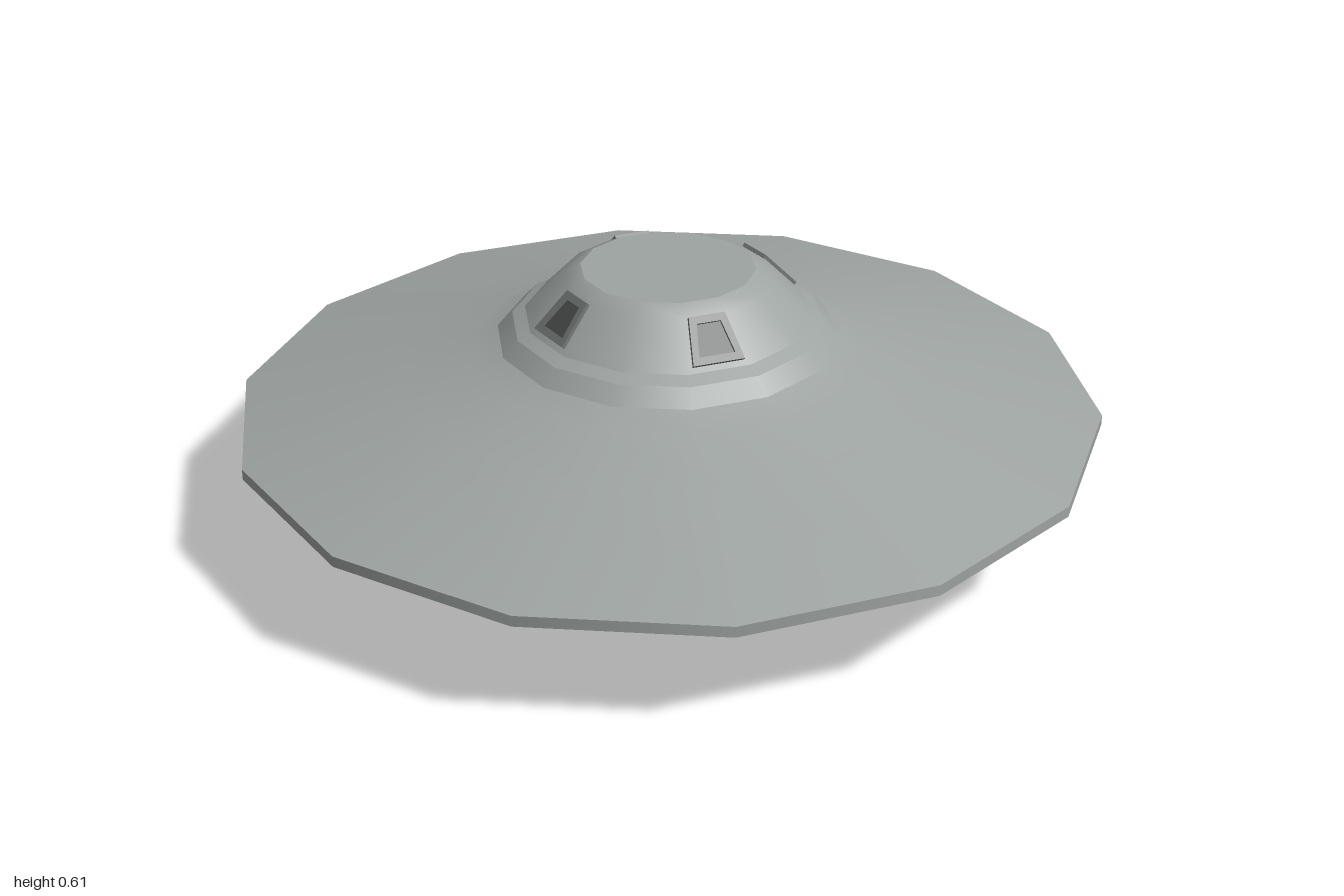
import * as THREE from 'three';

const SIDES = 14;

function material(name, color) {
  const m = new THREE.MeshStandardMaterial({ color });
  m.name = name;
  return m;
}

// Trapezoid outline, wider at the bottom
function trapezoid(bottom, top, height, Type = THREE.Shape) {
  const s = new Type();
  s.moveTo(-bottom / 2, -height / 2);
  s.lineTo(bottom / 2, -height / 2);
  s.lineTo(top / 2, height / 2);
  s.lineTo(-top / 2, height / 2);
  s.closePath();
  return s;
}

export function createModel() {
  const hull = material('hull grey', 0x9ea4a2);
  const dark = material('underside dark grey', 0x5c605f);
  const frameGrey = material('window frame grey', 0x6e7371);
  const glass = material('window glass', 0x484c4b);

  const model = new THREE.Group();
  model.name = 'flyingSaucer';

  // Each ring is smooth inside itself and sharp where it meets the next;
  // profiles run from the bottom centre, round the rim, to the top centre.
  const rings = [
    ['bottomDisc', dark, [[0, 0.02], [0.155, 0.02]]],
    ['bottomRecess', hull, [[0.155, 0.02], [0.19, 0.006], [0.22, 0]]],
    ['bottomBand', dark, [[0.22, 0], [0.245, 0.01], [0.29, 0.037]]],
    ['lowerPlate', hull, [[0.29, 0.037], [0.435, 0.065]]],
    ['lowerStep', hull, [[0.435, 0.065], [0.455, 0.08], [0.47, 0.1]]],
    ['lowerHull', hull, [[0.47, 0.1], [1, 0.252]]],
    ['rim', hull, [[1, 0.252], [1, 0.277]]],
    ['upperHull', hull, [[1, 0.277], [0.62, 0.378], [0.46, 0.42], [0.395, 0.446]]],
    ['domeStep', hull, [[0.395, 0.446], [0.36, 0.483]]],
    ['domeLedge', hull, [[0.36, 0.483], [0.33, 0.498]]],
    ['dome', hull, [[0.33, 0.498], [0.24, 0.59], [0.2, 0.61]]],
    ['domeTop', hull, [[0.2, 0.61], [0, 0.61]]],
  ];
  for (const [name, mat, profile] of rings) {
    const points = profile.map(([r, y]) => new THREE.Vector2(r, y));
    const mesh = new THREE.Mesh(new THREE.LatheGeometry(points, SIDES, Math.PI / 2), mat);
    mesh.name = name;
    model.add(mesh);
  }

  // Four sloping windows, each centred on a flat side of the dome
  const frameShape = trapezoid(0.12, 0.085, 0.112);
  frameShape.holes.push(trapezoid(0.084, 0.056, 0.076, THREE.Path));
  const frameGeometry = new THREE.ExtrudeGeometry(frameShape, { depth: 0.009, bevelEnabled: false });
  const glassGeometry = new THREE.ShapeGeometry(trapezoid(0.088, 0.06, 0.08));

  const step = (Math.PI * 2) / SIDES;
  const apothem = Math.cos(step / 2);
  const tilt = Math.atan2((0.33 - 0.24) * apothem, 0.59 - 0.498);
  const turns = [0, Math.PI, Math.PI / 2 + step / 2, -Math.PI / 2 + step / 2];
  turns.forEach((turn, i) => {
    const plate = new THREE.Group();
    const frame = new THREE.Mesh(frameGeometry, frameGrey);
    frame.name = 'windowFrame';
    const pane = new THREE.Mesh(glassGeometry, glass);
    pane.name = 'windowPane';
    pane.position.z = 0.003;
    plate.add(frame, pane);
    plate.position.set(0, 0.549, 0.281 * apothem);
    plate.rotation.x = -tilt;

    const pivot = new THREE.Group();
    pivot.name = `window${i + 1}`;
    pivot.rotation.y = turn;
    pivot.add(plate);
    model.add(pivot);
  });

  return model;
}
